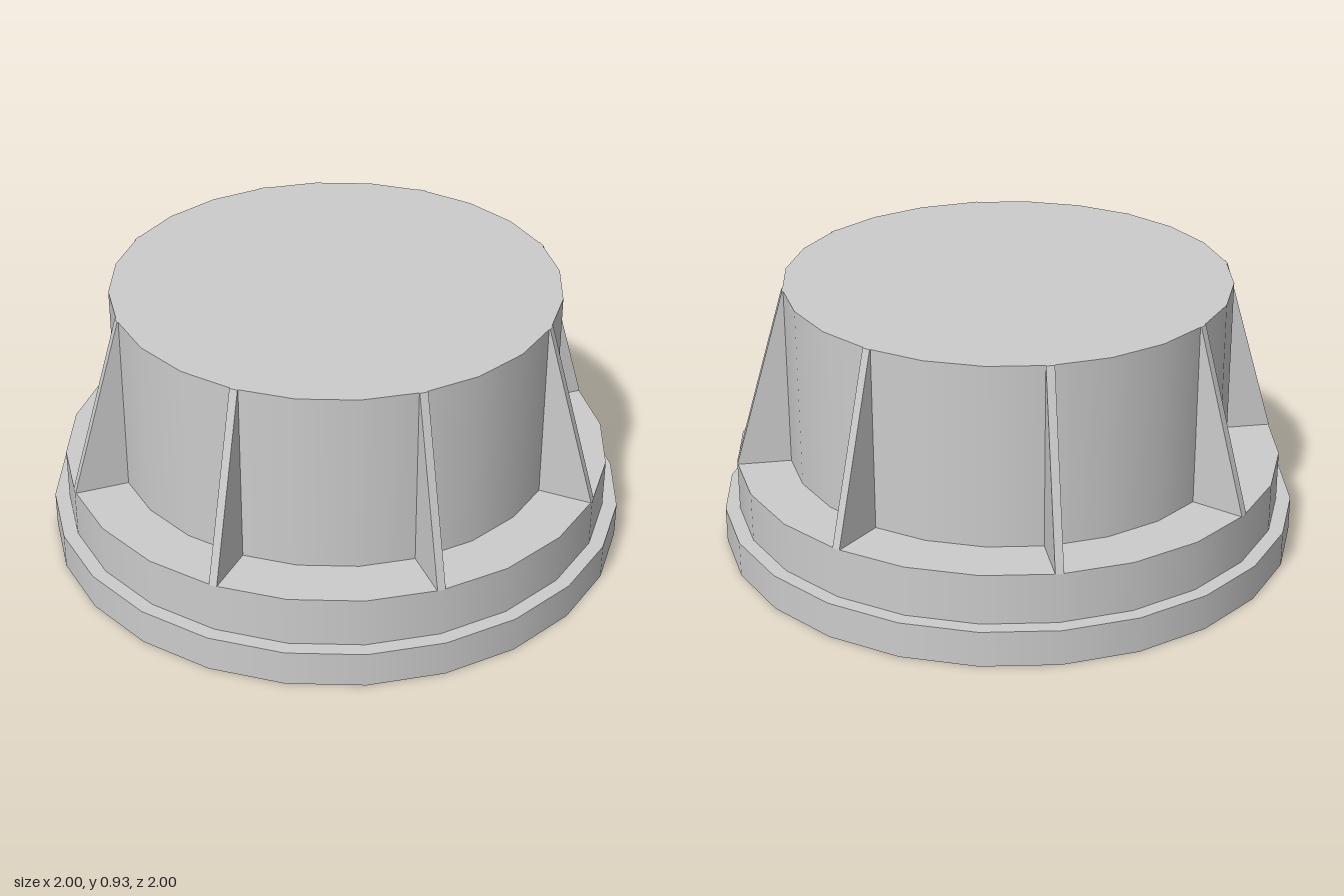
import * as THREE from 'three';

const SIDES = 24;
const BASE_R = 1, COLLAR_R = 0.95, DRUM_R = 0.766;
const BASE_TOP = 0.125, COLLAR_TOP = 0.3, TOP = 0.93;
const RIBS = 8, RIB_WIDTH = 0.028;

export function createModel() {
  const group = new THREE.Group();
  const material = new THREE.MeshStandardMaterial({ color: 0xcccccc });

  function add(name, geometry) {
    const mesh = new THREE.Mesh(geometry, material);
    mesh.name = name;
    group.add(mesh);
    return mesh;
  }

  // Upright wall of one tier
  function wall(name, radius, y0, y1) {
    const g = new THREE.CylinderGeometry(radius, radius, y1 - y0, SIDES, 1, true);
    add(name, g.translate(0, (y0 + y1) / 2, 0));
  }

  // Flat upward-facing ledge between two tiers
  function ledge(name, inner, outer, y) {
    add(name, new THREE.RingGeometry(inner, outer, SIDES).rotateX(-Math.PI / 2).translate(0, y, 0));
  }

  // Stepped body
  wall('baseFlange', BASE_R, 0, BASE_TOP);
  ledge('flangeLedge', COLLAR_R, BASE_R, BASE_TOP);
  wall('collar', COLLAR_R, BASE_TOP, COLLAR_TOP);
  ledge('collarLedge', DRUM_R, COLLAR_R, COLLAR_TOP);
  wall('drum', DRUM_R, COLLAR_TOP, TOP);

  // Closing discs
  add('topDisc', new THREE.CircleGeometry(DRUM_R, SIDES).rotateX(-Math.PI / 2).translate(0, TOP, 0));
  add('bottomDisc', new THREE.CircleGeometry(BASE_R, SIDES).rotateX(Math.PI / 2));

  // Triangular ribs bracing the drum against the collar
  const profile = new THREE.Shape([
    new THREE.Vector2(DRUM_R - 0.004, COLLAR_TOP),
    new THREE.Vector2(COLLAR_R, COLLAR_TOP),
    new THREE.Vector2(DRUM_R + 0.002, TOP),
    new THREE.Vector2(DRUM_R - 0.004, TOP),
  ]);
  const ribGeometry = new THREE.ExtrudeGeometry(profile, { depth: RIB_WIDTH, bevelEnabled: false })
    .translate(0, 0, -RIB_WIDTH / 2);
  for (let i = 0; i < RIBS; i++) {
    add('rib' + (i + 1), ribGeometry).rotation.y = (i / RIBS) * Math.PI * 2;
  }

  return group;
}
